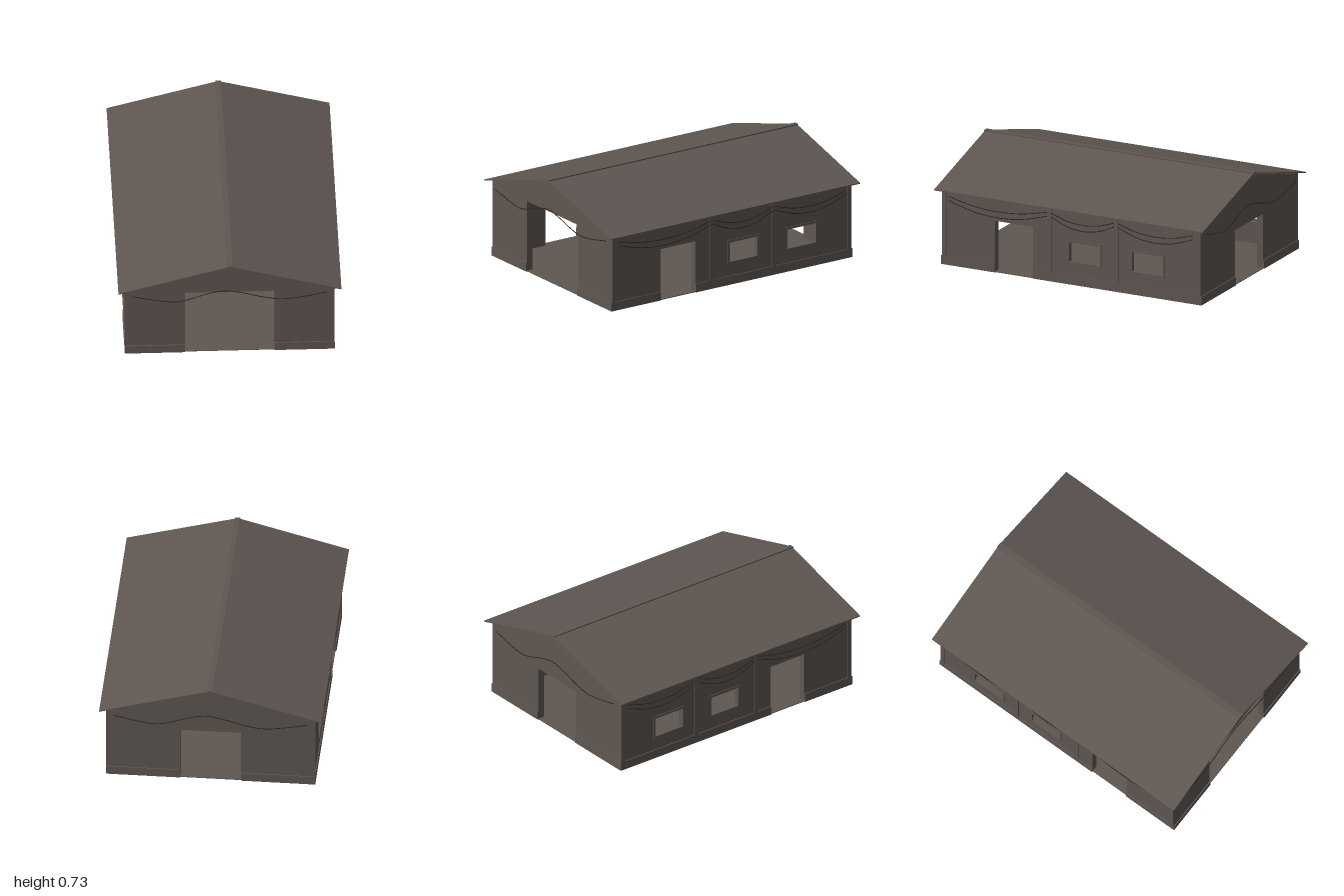
import * as THREE from 'three';

const brown = new THREE.MeshStandardMaterial({ color: 0x5f5651 });
brown.name = 'weathered brown';
const dark = new THREE.MeshStandardMaterial({ color: 0x2b2725 });
dark.name = 'dark cable';

const W = 0.685, L = 0.96, T = 0.045;   // wall faces and thickness
const EAVE = 0.522, PEAK = 0.709;
const SIDE_DOOR = [0.29, 0.57, 0.355];
const WINDOWS = [[-0.215, 0.025], [-0.685, -0.44]];
const WIN_Y = [0.15, 0.3];

const polygon = pts => new THREE.Shape(pts.map(p => new THREE.Vector2(...p)));
const extrude = (shape, depth) => new THREE.ExtrudeGeometry(shape, { depth, bevelEnabled: false });

export function createModel() {
  const model = new THREE.Group();
  model.name = 'building';

  const add = (name, geometry, material = brown) => {
    const mesh = new THREE.Mesh(geometry, material);
    mesh.name = name;
    model.add(mesh);
    return mesh;
  };
  // Box given by its limits on each axis
  const box = (name, x0, x1, y0, y1, z0, z1) =>
    add(name, new THREE.BoxGeometry(x1 - x0, y1 - y0, z1 - z0))
      .position.set((x0 + x1) / 2, (y0 + y1) / 2, (z0 + z1) / 2);
  const cable = (name, pts) => add(name, new THREE.TubeGeometry(
    new THREE.CatmullRomCurve3(pts.map(p => new THREE.Vector3(...p))), 32, 0.003, 5), dark);

  box('floor', -W, W, 0, 0.005, -L, L);

  // Gable walls with doorways and a low plinth on each side of the opening
  const gableCable = [[-0.64, 0.476], [-0.45, 0.435], [-0.36, 0.425], [-0.28, 0.44], [-0.15, 0.485],
    [-0.03, 0.508], [0.1, 0.485], [0.2, 0.455], [0.33, 0.43], [0.45, 0.44], [0.64, 0.478]];
  for (const [side, s, dw, dh] of [['front', 1, 0.295, 0.49], ['back', -1, 0.2, 0.38]]) {
    const shape = polygon([[-W, 0], [-dw, 0], [-dw, dh], [dw, dh], [dw, 0],
      [W, 0], [W, EAVE], [0, PEAK], [-W, EAVE]]);
    const wall = add(side + 'GableWall', extrude(shape, T));
    wall.position.z = s > 0 ? L - T : -L;
    for (const m of [-1, 1]) {
      const [x0, x1] = m > 0 ? [dw, 0.692] : [-0.692, -dw];
      const [z0, z1] = s > 0 ? [L, 0.967] : [-0.967, -L];
      box(side + 'Plinth', x0, x1, 0, 0.06, z0, z1);
    }
    cable(side + 'Cable', gableCable.map(([x, y]) => [x * s, y, s * 0.972]));
  }

  // Long walls, mirrored left and right
  const [d0, d1, dh] = SIDE_DOOR;
  const innerL = L - T;
  for (const s of [-1, 1]) {
    const shape = polygon([[-innerL, 0], [d0, 0], [d0, dh], [d1, dh], [d1, 0],
      [innerL, 0], [innerL, EAVE], [-innerL, EAVE]]);
    for (const [a, b] of WINDOWS) {
      shape.holes.push(new THREE.Path([[a, WIN_Y[0]], [a, WIN_Y[1]], [b, WIN_Y[1]], [b, WIN_Y[0]]]
        .map(p => new THREE.Vector2(...p))));
    }
    const wall = add('sideWall', extrude(shape, T).rotateY(-Math.PI / 2));
    wall.position.x = s > 0 ? W : -W + T;

    const [x0, x1] = s > 0 ? [W, 0.692] : [-0.692, -W];
    box('sidePlinth', x0, x1, 0, 0.06, -L, d0);
    box('sidePlinth', x0, x1, 0, 0.06, d1, L);
    for (const z of [-0.945, -0.333, 0.165, 0.945]) {
      box('wallPost', x0, x1, 0.06, EAVE, z - 0.015, z + 0.015);
    }

    // Window frames line the reveals
    for (const [a, b] of WINDOWS) {
      const f = 0.008, [y0, y1] = WIN_Y;
      const frame = polygon([[a - f, y0 - f], [b + f, y0 - f], [b + f, y1 + f], [a - f, y1 + f]]);
      frame.holes.push(new THREE.Path([[a + f, y0 + f], [a + f, y1 - f], [b - f, y1 - f], [b - f, y0 + f]]
        .map(p => new THREE.Vector2(...p))));
      const mesh = add('windowFrame', extrude(frame, 0.012).rotateY(-Math.PI / 2));
      mesh.position.x = s > 0 ? W + 0.005 : -W + 0.007;
    }

    // Two sagging cables in each bay
    for (const [a, b] of [[0.18, 0.91], [-0.32, 0.15], [-0.905, -0.345]]) {
      for (const [top, low] of [[0.475, 0.426], [0.448, 0.384]]) {
        const pts = [0, 0.25, 0.5, 0.75, 1].map(t => {
          const sag = 4 * t * (1 - t);
          return [s * (0.694 + 0.006 * sag), top + (low - top) * sag, a + (b - a) * t];
        });
        cable('sideCable', pts);
      }
    }
  }

  // Roof trusses: rafters and a tie beam
  for (const z of [-0.333, 0.165, 0.6, -0.66]) {
    const rafters = polygon([[-0.64, 0.51], [-0.56, 0.51], [0, 0.665], [0.56, 0.51],
      [0.64, 0.51], [0.64, 0.53], [0, PEAK], [-0.64, 0.53]]);
    add('rafters', extrude(rafters, 0.03)).position.z = z - 0.015;
    box('tieBeam', -0.64, 0.64, 0.495, 0.515, z - 0.012, z + 0.012);
  }

  // Thin overhanging roof and ridge cap
  const roof = polygon([[-0.735, 0.516], [0, 0.72], [0.735, 0.516], [0.735, 0.523], [0, 0.727], [-0.735, 0.523]]);
  add('roof', extrude(roof, 1.996)).position.z = -0.998;
  box('ridgeCap', -0.018, 0.018, 0.716, 0.73, -1, 1);

  return model;
}
